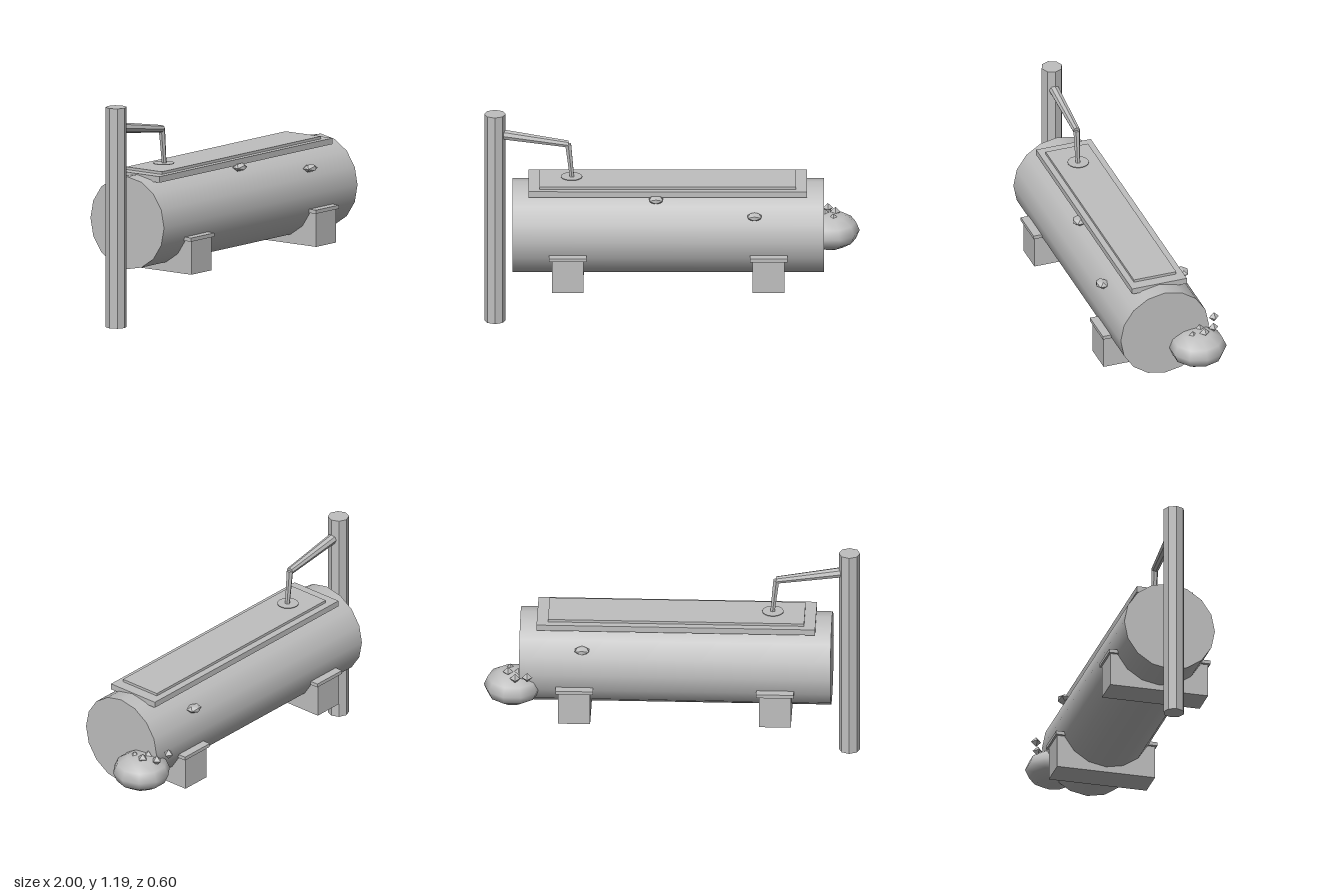
import * as THREE from 'three';

export function createModel() {
  const group = new THREE.Group();
  const smooth = new THREE.MeshStandardMaterial({ color: 0xbfbfbf });
  smooth.name = 'plainGrey';
  const Z = 0.025; // shared centre line of body, post and lid

  function add(name, geometry, x, y, z) {
    const mesh = new THREE.Mesh(geometry, smooth);
    mesh.name = name;
    mesh.position.set(x, y, z);
    group.add(mesh);
    return mesh;
  }

  // Split faces so that each one is shaded flat
  function faceted(geometry) {
    const g = geometry.index ? geometry.toNonIndexed() : geometry;
    g.computeVertexNormals();
    return g;
  }

  // Tapered faceted rod between two points
  function rod(name, a, b, ra, rb, sides) {
    const dir = b.clone().sub(a);
    const mid = a.clone().add(b).multiplyScalar(0.5);
    const mesh = add(name, faceted(new THREE.CylinderGeometry(rb, ra, dir.length(), sides)), mid.x, mid.y, mid.z);
    mesh.quaternion.setFromUnitVectors(new THREE.Vector3(0, 1, 0), dir.normalize());
    return mesh;
  }

  // Horizontal sixteen-sided body
  add('body', new THREE.CylinderGeometry(0.25, 0.25, 1.66, 16).rotateZ(Math.PI / 2), -0.02, 0.55, Z);

  // Stepped lid
  add('lidBase', new THREE.BoxGeometry(1.485, 0.033, 0.31), -0.0225, 0.789, Z - 0.003);
  add('lidTop', new THREE.BoxGeometry(1.365, 0.015, 0.24), -0.0225, 0.8125, Z);

  // Two cradle feet with ledges
  for (const x of [-0.555, 0.515]) {
    add('foot', new THREE.BoxGeometry(0.17, 0.185, 0.54), x, 0.3625, Z);
    add('footLedge', new THREE.BoxGeometry(0.2, 0.02, 0.56), x, 0.462, Z);
  }

  // Post with bent spout and drip ring
  add('post', faceted(new THREE.CylinderGeometry(0.057, 0.057, 1.19, 8)), -0.943, 0.595, Z - 0.002);
  const elbow = new THREE.Vector3(-0.553, 1.018, Z);
  rod('spoutArm', new THREE.Vector3(-0.93, 1.077, Z), elbow, 0.029, 0.02, 8);
  rod('spoutStream', elbow, new THREE.Vector3(-0.532, 0.82, Z), 0.018, 0.013, 6);
  add('dripRing', new THREE.CylinderGeometry(0.057, 0.057, 0.003, 16), -0.535, 0.83, Z - 0.002);

  // Rounded mound at the end of the body
  add('mound', new THREE.SphereGeometry(1, 10, 6).scale(0.155, 0.097, 0.155), 0.845, 0.45, -0.148);

  // Small crystals on the mound
  const crystals = [
    [0.765, 0.56, -0.27], [0.83, 0.538, -0.243], [0.87, 0.543, -0.178],
    [0.86, 0.53, -0.115], [0.815, 0.535, -0.17],
  ];
  for (const [x, y, z] of crystals) {
    add('crystal', faceted(new THREE.OctahedronGeometry(0.028)), x, y, z);
  }

  // Flattened knobs on the sides of the body
  const knobs = [[-0.085, 0.762, 0.185], [0.44, 0.69, 0.247], [0.475, 0.69, -0.197]];
  for (const [x, y, z] of knobs) {
    add('knob', faceted(new THREE.IcosahedronGeometry(1).scale(0.045, 0.023, 0.036)), x, y, z);
  }

  return group;
}
